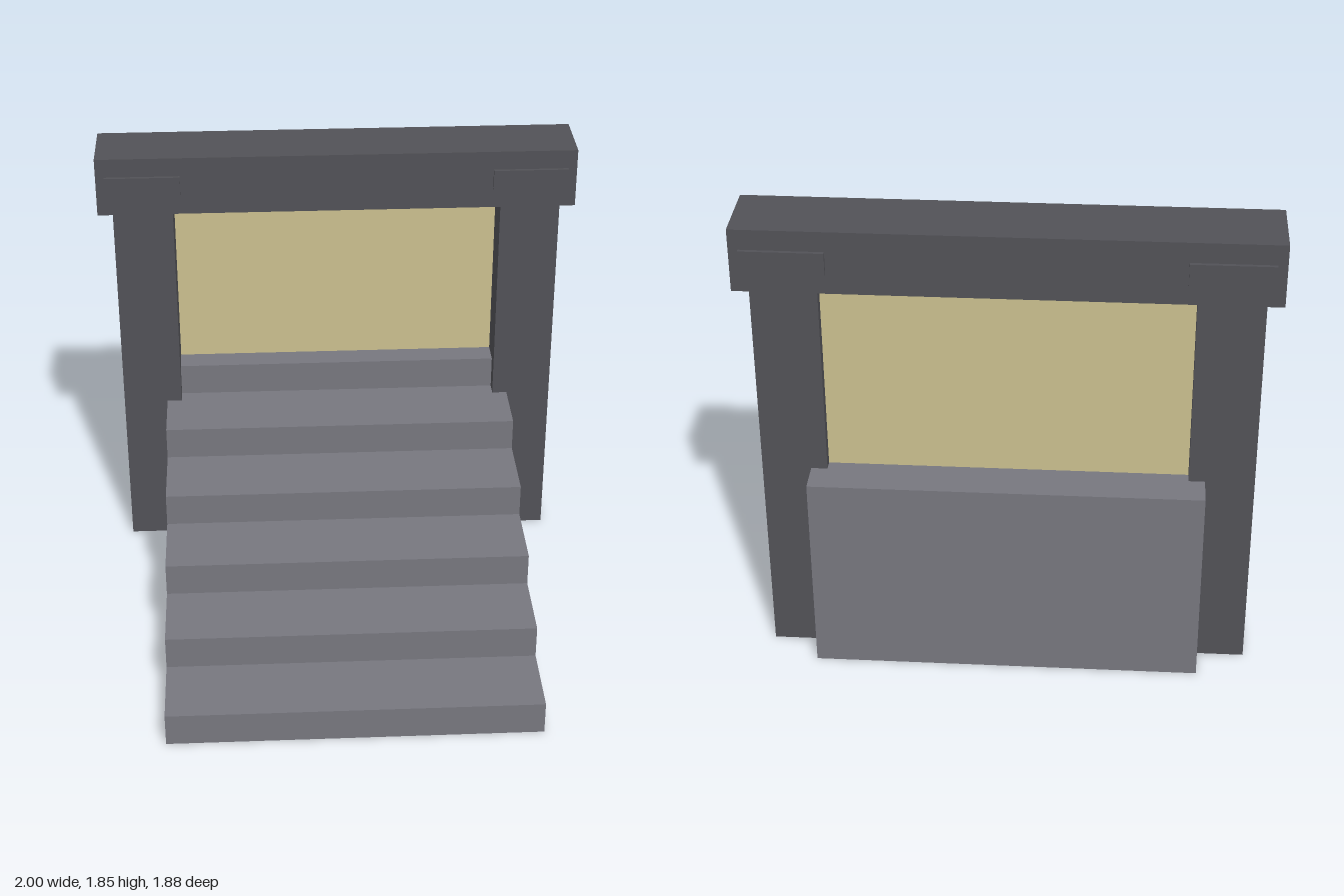
import * as THREE from 'three';

export function createModel() {
  const model = new THREE.Group();
  model.name = 'stairGate';

  const material = (name, color) => {
    const m = new THREE.MeshStandardMaterial({ color });
    m.name = name;
    return m;
  };
  const stone = material('grey stone', 0x77777f);
  const darkStone = material('dark stone', 0x525257);
  const cream = material('cream panel', 0xcbc08f);

  // Box given by its minimum and maximum corners
  const box = (name, mat, [x0, y0, z0], [x1, y1, z1]) => {
    const mesh = new THREE.Mesh(new THREE.BoxGeometry(x1 - x0, y1 - y0, z1 - z0), mat);
    mesh.position.set((x0 + x1) / 2, (y0 + y1) / 2, (z0 + z1) / 2);
    mesh.name = name;
    model.add(mesh);
  };

  // Solid staircase: stepped side profile extruded across the width
  const steps = 6, tread = 0.3125, rise = 0.1378, front = 0.9375, width = 1.5;
  const profile = new THREE.Shape();
  profile.moveTo(-front, 0);
  for (let i = 0; i < steps; i++) {
    profile.lineTo(-front + i * tread, (i + 1) * rise);
    profile.lineTo(-front + (i + 1) * tread, (i + 1) * rise);
  }
  profile.lineTo(front, 0);
  const stairGeometry = new THREE.ExtrudeGeometry(profile, { depth: width, bevelEnabled: false });
  stairGeometry.translate(0, 0, -width / 2).rotateY(Math.PI / 2);
  const stairs = new THREE.Mesh(stairGeometry, stone);
  stairs.name = 'stairs';
  model.add(stairs);

  // Posts and the raised plates on both faces of the beam
  for (const [side, s] of [['left', 1], ['right', -1]]) {
    const span = (a, b) => (s > 0 ? [a, b] : [-b, -a]);
    const [p0, p1] = span(0.6875, 0.9375);
    box(side + 'Post', darkStone, [p0, 0, -0.8125], [p1, 1.6, -0.5625]);
    const [q0, q1] = span(0.652, 0.964);
    box(side + 'FrontPlate', darkStone, [q0, 1.68, -0.56], [q1, 1.77, -0.534]);
    box(side + 'BackPlate', darkStone, [q0, 1.68, -0.841], [q1, 1.77, -0.815]);
  }

  // Lintel and the panel filling the opening
  box('beam', darkStone, [-1, 1.6, -0.827], [1, 1.85, -0.548]);
  box('doorPanel', cream, [-0.6875, steps * rise, -0.77], [0.6875, 1.6, -0.73]);

  return model;
}
